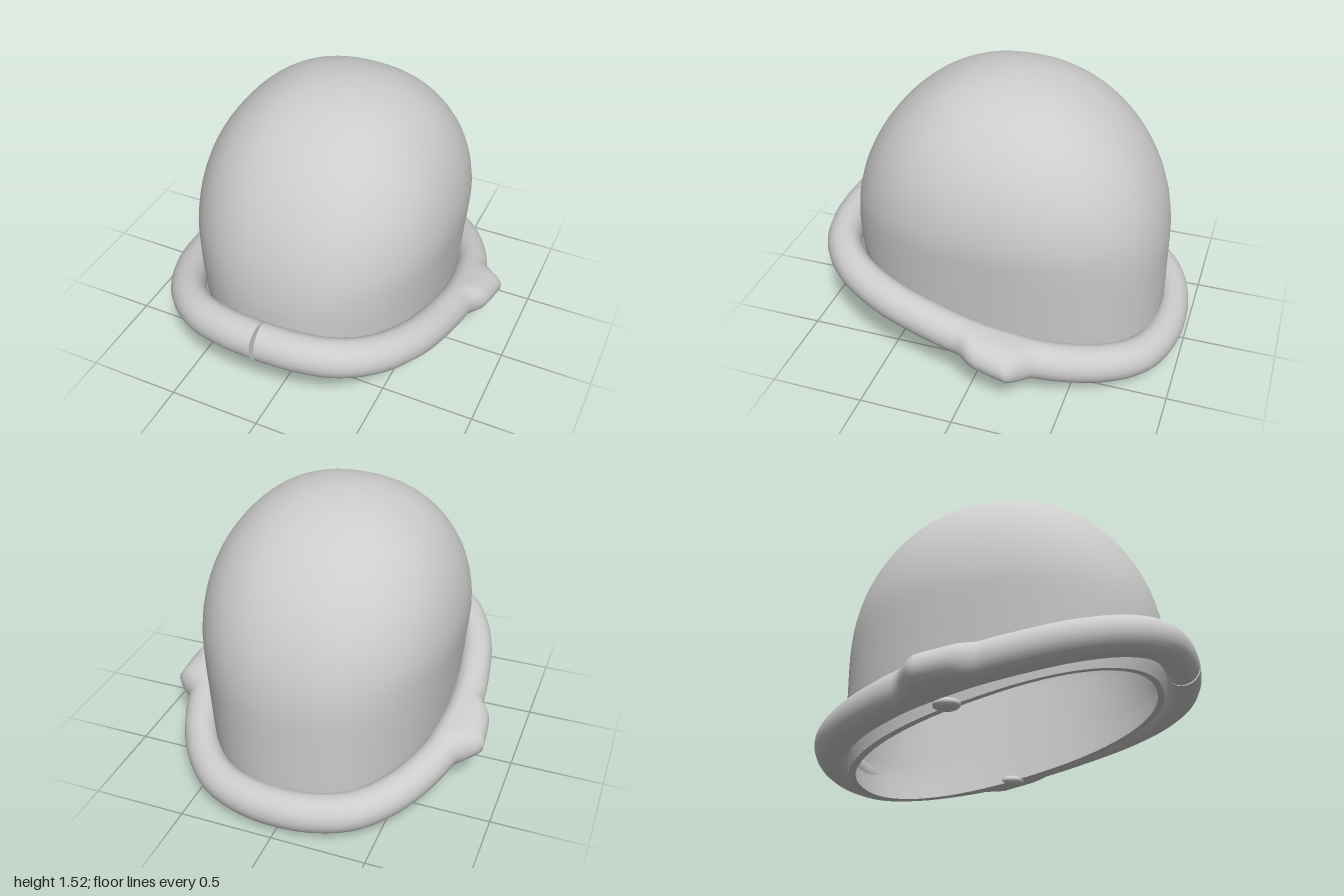
import * as THREE from 'three';

// Surface through rings of points; rings are closed, the sequence of rings is open.
function loft(name, rings, segs, point, material) {
  const pos = [], index = [];
  for (let i = 0; i <= rings; i++)
    for (let j = 0; j < segs; j++) pos.push(...point(i / rings, (j / segs) * Math.PI * 2));
  for (let i = 0; i < rings; i++)
    for (let j = 0; j < segs; j++) {
      const k = (j + 1) % segs, a = i * segs + j, b = i * segs + k;
      index.push(a, a + segs, b, b, a + segs, b + segs);
    }
  const g = new THREE.BufferGeometry();
  g.setAttribute('position', new THREE.Float32BufferAttribute(pos, 3));
  g.setIndex(index);
  g.computeVertexNormals();
  const m = new THREE.Mesh(g, material);
  m.name = name;
  return m;
}

const spow = (v, p) => Math.sign(v) * Math.pow(Math.abs(v), p);
const TOP = 1.525;

// Point on the bowl: s runs from the slanted lower edge (0) to the crown (1), t is the inset.
function bowlPoint(s, ang, t) {
  const cx = spow(Math.cos(ang), 0.89), cz = spow(Math.sin(ang), 0.89);
  const base = 0.2 + 0.237 * 0.84 * cz, top = TOP - t;
  const y = base + (top - base) * s;
  const hx = THREE.MathUtils.clamp((y - 0.8) / (top - 0.8), 0, 1);
  const hz = THREE.MathUtils.clamp((y - 0.6) / (top - 0.6), 0, 1);
  const low = Math.max(0, 0.8 - y);
  const a = (0.68 - t - low * 0.09) * Math.pow(1 - Math.pow(hx, 2.1), 1 / 2.1);
  const tuck = Math.max(0, 0.1 - s) * 0.3;
  const b = ((cz > 0 ? 0.835 : 0.862) - t - tuck) * Math.sqrt(1 - hz * hz);
  return [a * cx, y, b * cz];
}

// Plan of one half of the rolled brim, front to back.
const half = [[0.006, 0.9], [0.2, 0.885], [0.38, 0.83], [0.53, 0.7], [0.64, 0.48], [0.695, 0.2],
  [0.71, 0], [0.695, -0.2], [0.655, -0.4], [0.53, -0.65], [0.37, -0.81], [0.19, -0.88]];
const plan = [...half, [0, -0.9], ...half.slice().reverse().map(([x, z]) => [-x, z])];
const path = new THREE.CatmullRomCurve3(plan.map(([x, z]) => new THREE.Vector3(x, 0.32 + 0.217 * z, z)));

// Outward swelling of the brim at the side knuckles.
function knuckle(z) {
  const k = [[-0.33, 0], [-0.23, 0.1], [-0.05, 0.06], [0.03, 0]];
  for (let i = 0; i < 3; i++)
    if (z >= k[i][0] && z <= k[i + 1][0])
      return THREE.MathUtils.mapLinear(z, k[i][0], k[i + 1][0], k[i][1], k[i + 1][1]);
  return 0;
}

function brimPoint(u, ang, scale = 1) {
  const p = path.getPointAt(u), t = path.getTangentAt(u);
  const n = new THREE.Vector2(-t.z, t.x).normalize();
  const c = Math.cos(ang);
  const out = scale * (c > 0 ? c * 0.1 + knuckle(p.z) * Math.sqrt(c) : c * 0.085);
  return [p.x + n.x * out, p.y + scale * 0.103 * Math.sin(ang), p.z + n.y * out];
}

export function createModel() {
  const model = new THREE.Group();
  model.name = 'bowlHat';
  const grey = new THREE.MeshStandardMaterial({ color: 0xcccccc });
  grey.name = 'light grey';

  // Crown: outer skin, lining and the lower lip joining them
  const wall = 0.035;
  const rise = (u) => Math.sin((u * Math.PI) / 2);
  model.add(
    loft('crown', 36, 72, (u, a) => bowlPoint(rise(u), a, 0), grey),
    loft('lining', 36, 72, (u, a) => bowlPoint(rise(1 - u), a, wall), grey),
    loft('lowerLip', 1, 72, (u, a) => bowlPoint(0, a, wall * (1 - u)), grey),
  );

  // Rolled brim, open at a thin front seam
  model.add(
    loft('brim', 200, 24, (u, a) => brimPoint(u, a), grey),
    loft('brimEndLeft', 1, 24, (u, a) => brimPoint(0, a, u), grey),
    loft('brimEndRight', 1, 24, (u, a) => brimPoint(1, a, 1 - u), grey),
  );

  // Small folds inside the opening, behind the knuckles
  for (const side of [1, -1]) {
    const fold = new THREE.Mesh(new THREE.SphereGeometry(1, 16, 10), grey);
    fold.name = side > 0 ? 'innerFoldLeft' : 'innerFoldRight';
    fold.scale.set(0.06, 0.03, 0.07);
    fold.position.set(side * 0.62, 0.175, -0.15);
    model.add(fold);
  }
  return model;
}
